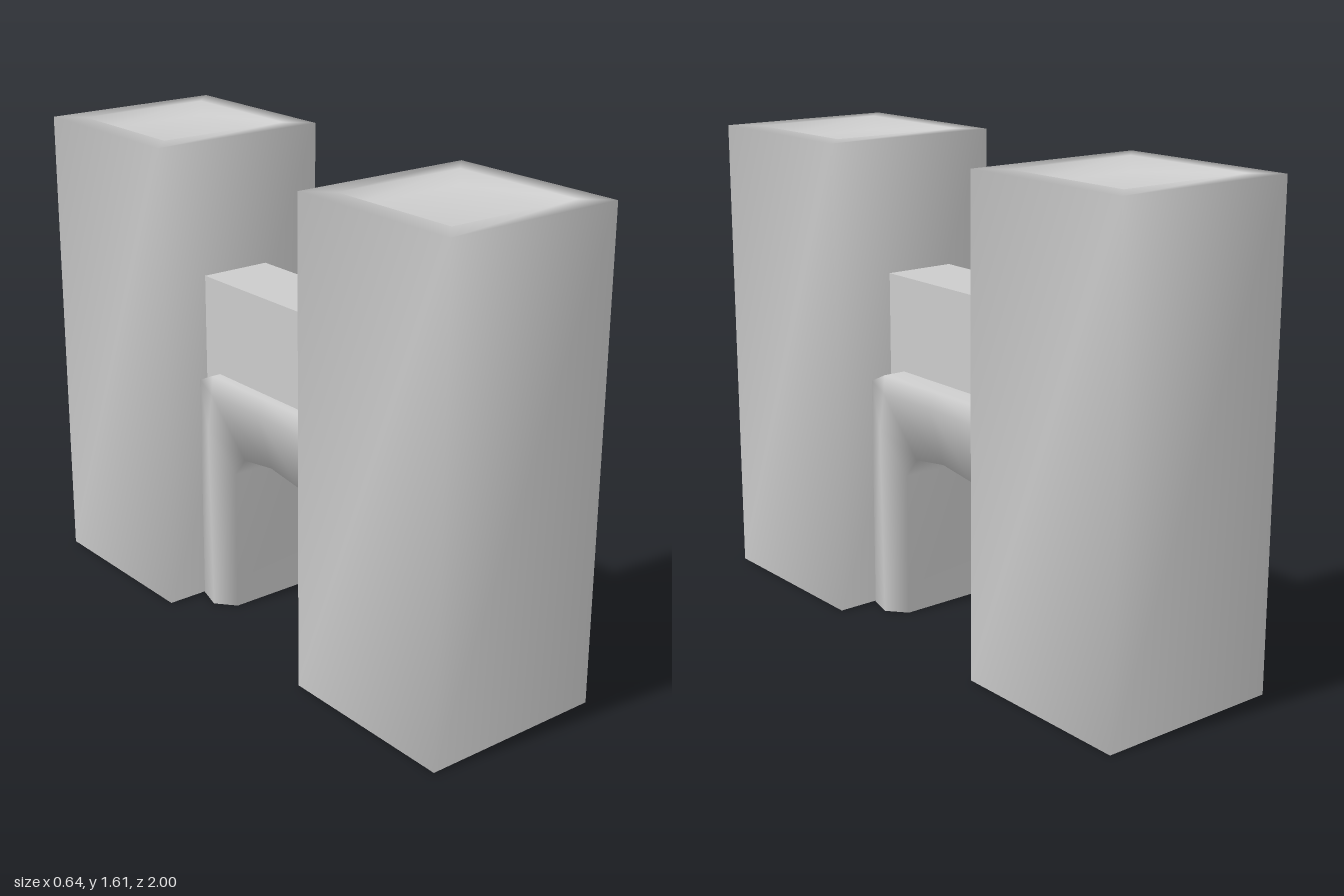
import * as THREE from 'three';

const material = new THREE.MeshStandardMaterial({ color: 0xcccccc, side: THREE.DoubleSide });

// Skin closed rings of points with shared vertices, for smooth shading across corners
function loft(rings, capEnd = false) {
  const n = rings[0].length;
  const index = [];
  for (let i = 0; i < rings.length - 1; i++) {
    for (let j = 0; j < n; j++) {
      const a = i * n + j, b = i * n + (j + 1) % n;
      index.push(a, b, b + n, a, b + n, a + n);
    }
  }
  if (capEnd) {
    const s = (rings.length - 1) * n;
    for (let j = 1; j < n - 1; j++) index.push(s, s + j, s + j + 1);
  }
  const geometry = new THREE.BufferGeometry();
  geometry.setAttribute('position', new THREE.Float32BufferAttribute(rings.flat(2), 3));
  geometry.setIndex(index);
  geometry.computeVertexNormals();
  return geometry;
}

function add(group, name, geometry) {
  const mesh = new THREE.Mesh(geometry, material);
  mesh.name = name;
  group.add(mesh);
  return mesh;
}

// Square ring of half width r at height y
const square = (r, y) => [[r, y, r], [r, y, -r], [-r, y, -r], [-r, y, r]];

export function createModel() {
  const group = new THREE.Group();
  group.name = 'twinTowers';

  // Towers: open below, with a shallow recess in the roof
  const tower = loft([square(0.32, 0), square(0.32, 1.61), square(0.24, 1.61), square(0.24, 1.56)], true);
  add(group, 'frontTower', tower).position.z = 0.68;
  add(group, 'backTower', tower).position.z = -0.68;

  // Bridge, slightly off centre
  const bridge = new THREE.BoxGeometry(0.25, 0.36, 0.71);
  add(group, 'bridge', bridge).position.set(-0.025, 0.98, 0);

  // Archway stations: inner z, inner y, outer z, outer y, position of the side ridge
  const half = [
    [0.2, 0, 0.355, 0, 0.42],
    [0.2, 0.495, 0.355, 0.8, 0.5],
    [0.145, 0.565, 0.28, 0.835, 0.8],
  ];
  const mirrored = half.map(([iz, iy, oz, oy, t]) => [-iz, iy, -oz, oy, t]).reverse();
  const stations = [...half, [0, 0.585, 0, 0.835, 0.8], ...mirrored];
  const section = (s) => {
    const at = (x, t) => [x, s[1] + (s[3] - s[1]) * t, s[0] + (s[2] - s[0]) * t];
    return [at(-0.15, 0), at(-0.205, s[4]), at(-0.18, 1), at(0.18, 1), at(0.205, s[4]), at(0.15, 0)];
  };
  add(group, 'archway', loft(stations.map(section)));

  return group;
}
